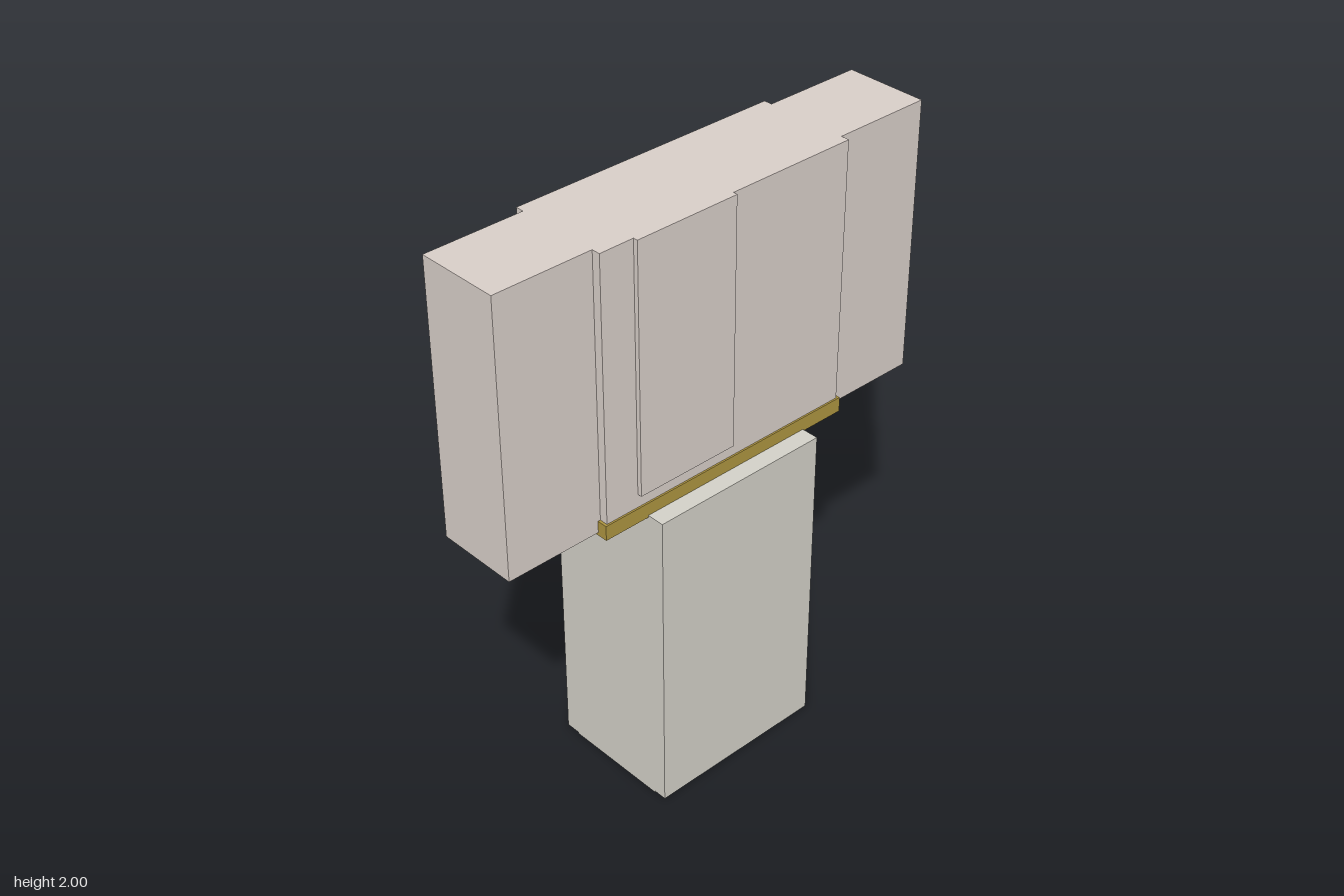
import * as THREE from 'three';

export function createModel() {
  const model = new THREE.Group();
  const paint = (color) => new THREE.MeshStandardMaterial({ color, flatShading: true });
  const skin = paint(0xd9cfc9);
  const stone = paint(0xd3d1c8);
  const ochre = paint(0xae9540);

  // Box given by its extents on each axis
  function block(name, material, [x0, x1], [y0, y1], [z0, z1]) {
    const mesh = new THREE.Mesh(new THREE.BoxGeometry(x1 - x0, y1 - y0, z1 - z0), material);
    mesh.position.set((x0 + x1) / 2, (y0 + y1) / 2, (z0 + z1) / 2);
    mesh.name = name;
    model.add(mesh);
  }

  // Upper body: one arm slab running through a thicker torso
  block('arms', skin, [-0.797, 0.797], [1.09, 2], [-0.139, 0.139]);
  block('torso', skin, [-0.465, 0.461], [1.1, 2], [-0.167, 0.167]);

  // Raised panel on the chest
  block('chestPanel', skin, [-0.348, 0.012], [1.175, 2], [0.1, 0.182]);

  // Belt around the foot of the torso
  block('belt', ochre, [-0.474, 0.471], [1.08, 1.13], [-0.173, 0.173]);

  // Leg block with two thin soles
  block('legs', stone, [-0.315, 0.313], [0.008, 1.087], [-0.232, 0.232]);
  block('rightSole', stone, [-0.313, -0.05], [0, 0.02], [-0.185, 0.185]);
  block('leftSole', stone, [0.05, 0.311], [0, 0.02], [-0.185, 0.185]);

  return model;
}
